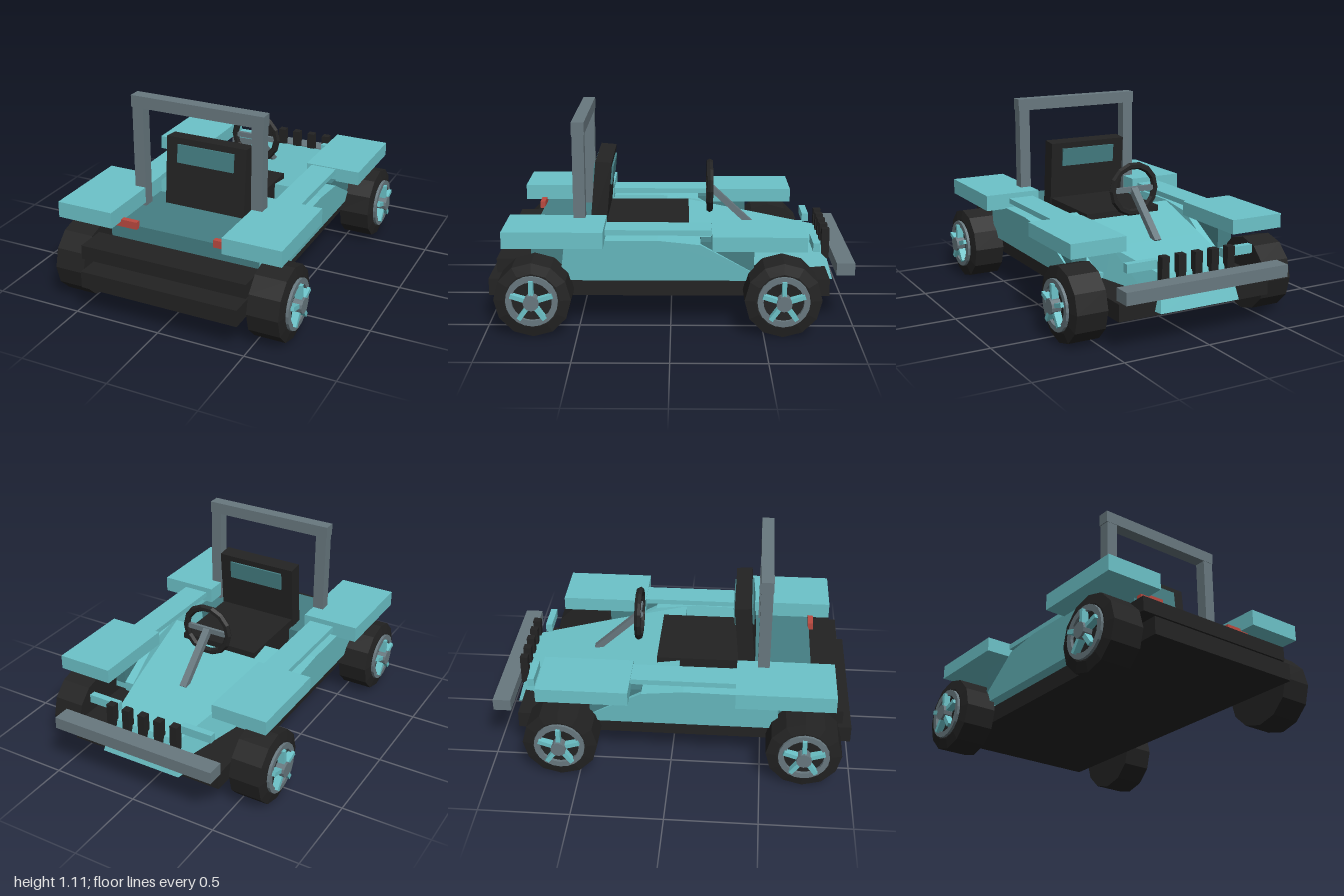
import * as THREE from 'three';

const mat = (name, color) => {
  const m = new THREE.MeshStandardMaterial({ color });
  m.name = name;
  return m;
};

// Facet a geometry so every side reads as a flat plane
const flat = (g) => {
  const f = g.index ? g.toNonIndexed() : g;
  f.computeVertexNormals();
  return f;
};

// Skin four-cornered cross-sections, ordered from -z to +z, and cap both ends
function loft(sections) {
  const pos = [];
  const quad = (a, b, c, d) => [a, b, c, a, c, d].forEach((p) => pos.push(...p));
  for (let k = 0; k < sections.length - 1; k++) {
    const a = sections[k], b = sections[k + 1];
    for (let i = 0; i < 4; i++) {
      const j = (i + 1) % 4;
      quad(a[i], a[j], b[j], b[i]);
    }
  }
  const [s, e] = [sections[0], sections[sections.length - 1]];
  quad(s[3], s[2], s[1], s[0]);
  quad(e[0], e[1], e[2], e[3]);
  const g = new THREE.BufferGeometry();
  g.setAttribute('position', new THREE.Float32BufferAttribute(pos, 3));
  g.computeVertexNormals();
  return g;
}

export function createModel() {
  const teal = mat('teal paint', 0x6cc3c9);
  const darkTeal = mat('dark teal', 0x457f84);
  const black = mat('black', 0x232323);
  const grey = mat('grey metal', 0x68787f);
  const red = mat('red lamp', 0xbb4a40);

  const model = new THREE.Group();
  model.name = 'buggy';
  const add = (name, geo, m, parent = model) => {
    const mesh = new THREE.Mesh(geo, m);
    mesh.name = name;
    parent.add(mesh);
    return mesh;
  };
  // Box given by its extents along each axis
  const box = (name, m, [x0, x1], [y0, y1], [z0, z1], parent = model) => {
    const b = add(name, new THREE.BoxGeometry(x1 - x0, y1 - y0, z1 - z0), m, parent);
    b.position.set((x0 + x1) / 2, (y0 + y1) / 2, (z0 + z1) / 2);
    return b;
  };
  // The same box on the left and right
  const pair = (name, m, [x0, x1], y, z) => {
    box(name + 'Left', m, [x0, x1], y, z);
    box(name + 'Right', m, [-x1, -x0], y, z);
  };

  // Chassis and tub
  box('chassis', black, [-0.46, 0.46], [0.16, 0.255], [-0.87, 1]);
  box('tubFloor', teal, [-0.42, 0.42], [0.25, 0.285], [-0.45, 0.6]);
  box('cockpitFloor', darkTeal, [-0.4, 0.4], [0.28, 0.31], [0.02, 0.4]);
  box('rearDeck', darkTeal, [-0.4, 0.4], [0.28, 0.47], [0.33, 0.77]);
  box('rearBumper', black, [-0.485, 0.485], [0.3, 0.38], [0.77, 0.945]);

  // Tapered hood with a raked nose
  const section = (zTop, zBot, wTop, yTop, wBot, yBot) => [
    [-wBot, yBot, zBot], [wBot, yBot, zBot], [wTop, yTop, zTop], [-wTop, yTop, zTop],
  ];
  add('hood', loft([
    section(-0.86, -0.915, 0.21, 0.37, 0.24, 0.18),
    section(-0.47, -0.47, 0.285, 0.43, 0.33, 0.2),
    section(0.03, 0.03, 0.37, 0.505, 0.4, 0.2),
  ]), teal);

  // Side pods, leaning outward towards the top
  const profile = new THREE.Shape([
    [0.6, 0.265], [0.57, 0.495], [0.07, 0.5], [-0.16, 0.475], [-0.45, 0.31], [-0.45, 0.265],
  ].map(([z, y]) => new THREE.Vector2(z, y)));
  for (const s of [1, -1]) {
    const g = new THREE.ExtrudeGeometry(profile, { depth: 0.15, bevelEnabled: false });
    g.translate(0, 0, -0.075).rotateY(-Math.PI / 2);
    const p = g.attributes.position;
    for (let i = 0; i < p.count; i++) {
      p.setX(i, p.getX(i) + s * (0.435 + (p.getY(i) - 0.265) * 0.12));
    }
    add(s > 0 ? 'sidePodLeft' : 'sidePodRight', flat(g), teal);
  }
  pair('podInner', darkTeal, [0.44, 0.515], [0.4, 0.485], [0.5, 0.61]);
  pair('frontWheelWell', darkTeal, [0.42, 0.51], [0.3, 0.485], [-0.45, -0.16]);
  pair('sideRail', teal, [0.36, 0.51], [0.52, 0.55], [-0.24, 0.37]);

  // Fenders
  pair('frontFender', teal, [0.33, 0.65], [0.475, 0.555], [-0.72, -0.22]);
  pair('rearFender', teal, [0.323, 0.653], [0.49, 0.58], [0.355, 0.89]);

  // Seat
  box('seatCushion', black, [-0.235, 0.235], [0.38, 0.52], [-0.1, 0.4]);
  box('seatCrossbar', black, [-0.36, 0.36], [0.36, 0.42], [0.06, 0.155]);
  const backrest = new THREE.Group();
  backrest.name = 'backrest';
  backrest.position.set(0, 0.47, 0.41);
  backrest.rotation.x = -0.09;
  model.add(backrest);
  box('backrestPad', black, [-0.24, 0.24], [0, 0.39], [-0.045, 0.045], backrest);
  box('headrestPanel', darkTeal, [-0.17, 0.17], [0.25, 0.355], [-0.055, 0.055], backrest);

  // Roll bar
  pair('rollBarPost', grey, [0.32, 0.385], [0.47, 1.06], [0.468, 0.533]);
  box('rollBarTop', grey, [-0.39, 0.39], [1.045, 1.112], [0.465, 0.535]);

  // Steering wheel and column
  const rim = add('steeringWheel', flat(new THREE.TorusGeometry(0.135, 0.02, 6, 14)), black);
  rim.position.set(0, 0.665, -0.22);
  box('steeringSpoke', grey, [-0.125, 0.125], [0.65, 0.68], [-0.23, -0.212]);
  const column = add('steeringColumn', new THREE.BoxGeometry(0.04, 0.36, 0.035), grey);
  column.position.set(0, 0.545, -0.345);
  column.rotation.x = 0.82;

  // Lamps, grille and front bumper
  pair('tailLamp', red, [0.228, 0.375], [0.46, 0.502], [0.765, 0.795]);
  pair('headlampBar', teal, [0.2, 0.385], [0.39, 0.438], [-0.82, -0.782]);
  for (let i = -2; i <= 2; i++) {
    box('grillePost', black, [i * 0.1 - 0.022, i * 0.1 + 0.022], [0.3, 0.47], [-0.892, -0.848]);
  }
  box('frontBumper', grey, [-0.49, 0.49], [0.29, 0.358], [-1, -0.9]);

  // Wheels: turned about x, outer face towards +x, then spun for the right side
  const lathe = (pts, n) => flat(new THREE.LatheGeometry(
    pts.map(([r, y]) => new THREE.Vector2(r, y)), n,
  )).rotateZ(-Math.PI / 2);
  const tire = lathe([[0, -0.088], [0.207, -0.088], [0.207, 0.088], [0.15, 0.1], [0, 0.09]], 12);
  const ring = lathe([[0.108, 0.085], [0.14, 0.085], [0.14, 0.115], [0.108, 0.115], [0.108, 0.085]], 20);
  const hub = lathe([[0, 0.08], [0.042, 0.08], [0.042, 0.146], [0, 0.146]], 12);
  const spoke = new THREE.BoxGeometry(0.04, 0.085, 0.024).translate(0.113, 0.075, 0);
  for (const [end, z] of [['rear', 0.735], ['front', -0.6]]) {
    for (const s of [1, -1]) {
      const wheel = new THREE.Group();
      wheel.name = end + (s > 0 ? 'WheelLeft' : 'WheelRight');
      wheel.position.set(s * 0.572, 0.207, z);
      wheel.rotation.y = s > 0 ? 0 : Math.PI;
      model.add(wheel);
      add('tire', tire, black, wheel);
      add('rimRing', ring, grey, wheel);
      add('hub', hub, grey, wheel);
      for (let i = 0; i < 5; i++) {
        add('spoke', spoke, teal, wheel).rotation.x = (i * Math.PI * 2) / 5;
      }
    }
    const axle = add(end + 'Axle', new THREE.CylinderGeometry(0.03, 0.03, 1, 8), grey);
    axle.rotation.z = Math.PI / 2;
    axle.position.set(0, 0.21, z);
  }
  return model;
}
